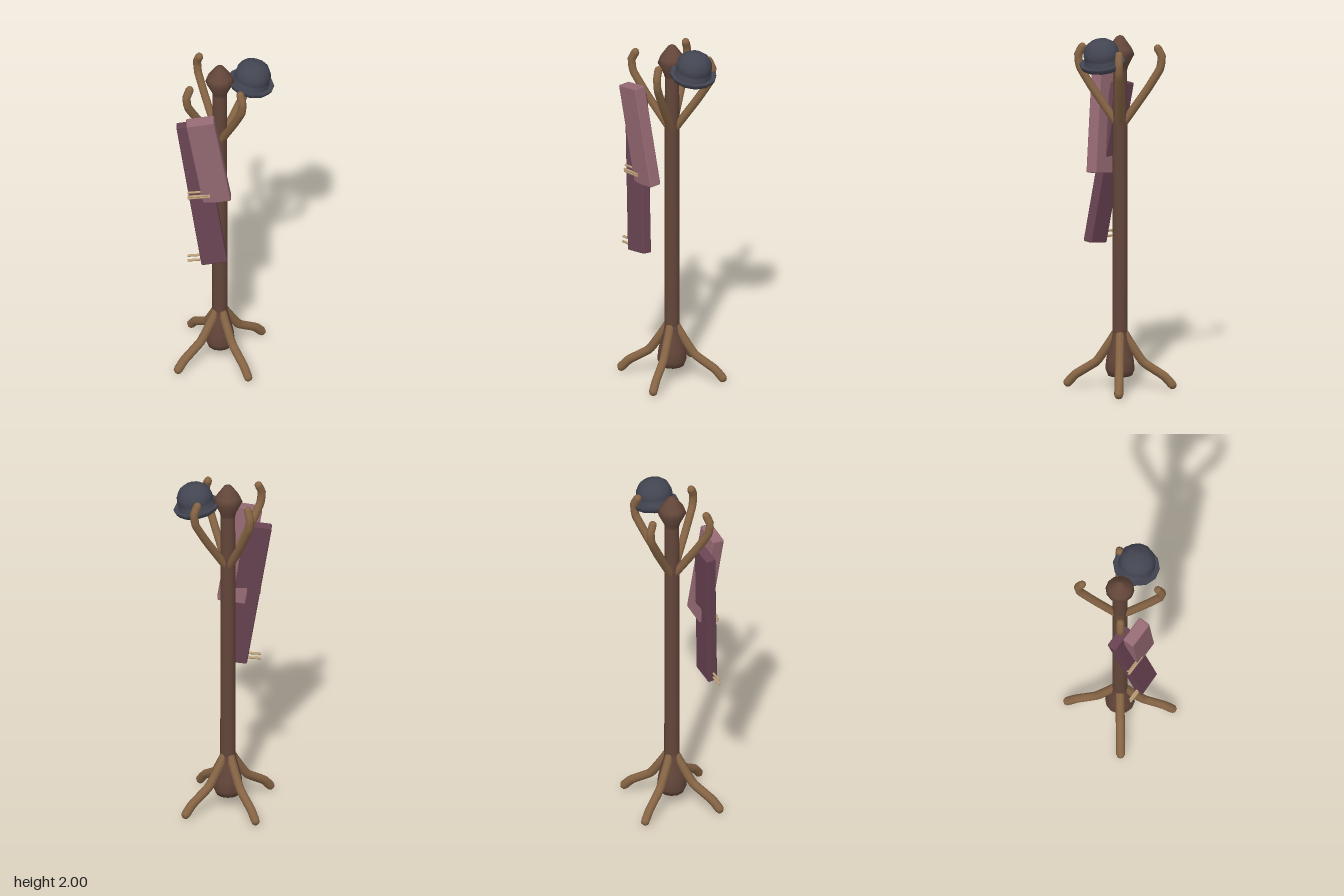
import * as THREE from 'three';
import { RoundedBoxGeometry } from 'three/addons/geometries/RoundedBoxGeometry.js';

const mat = (name, color) => {
  const m = new THREE.MeshStandardMaterial({ color });
  m.name = name;
  return m;
};

export function createModel() {
  const darkWood = mat('darkWood', 0x63463a);
  const lightWood = mat('lightWood', 0x876545);
  const felt = mat('felt', 0x434552);
  const rose = mat('rose', 0x966a74);
  const plum = mat('plum', 0x694353);
  const tan = mat('tan', 0xc0a27c);

  const model = new THREE.Group();
  model.name = 'coatStand';

  const add = (parent, name, geometry, material, pos = [0, 0, 0], rot = [0, 0, 0]) => {
    const mesh = new THREE.Mesh(geometry, material);
    mesh.name = name;
    mesh.position.set(...pos);
    mesh.rotation.set(...rot);
    parent.add(mesh);
    return mesh;
  };
  const lathe = (pts, sides) =>
    new THREE.LatheGeometry(pts.map(([r, y]) => new THREE.Vector2(r, y)), sides);

  // Stand: pole with turned base and finial
  const stand = new THREE.Group();
  stand.name = 'stand';
  stand.position.x = -0.02;
  model.add(stand);
  add(stand, 'pole', new THREE.CylinderGeometry(0.04, 0.043, 1.6, 12), darkWood, [0, 1.05, 0]);
  add(stand, 'base', lathe([[0, 0.075], [0.068, 0.075], [0.082, 0.11], [0.076, 0.17],
    [0.05, 0.28], [0.04, 0.33]], 12), darkWood);
  add(stand, 'finial', lathe([[0.04, 1.8], [0.045, 1.82], [0.08, 1.89], [0.068, 1.92],
    [0.022, 1.985], [0, 1.997]], 12), darkWood);

  // Bent limbs: a tube in the (radius, height) plane with rounded ends
  const limb = (name, pts, radius, angle) => {
    const group = new THREE.Group();
    group.name = name;
    group.rotation.y = -angle;
    const path = pts.map(([r, y]) => new THREE.Vector3(r, y, 0));
    const curve = new THREE.CatmullRomCurve3(path, false, 'catmullrom', 0.2);
    add(group, name + 'Tube', new THREE.TubeGeometry(curve, 20, radius, 8), lightWood);
    for (const p of [path[0], path[path.length - 1]]) {
      add(group, name + 'End', new THREE.SphereGeometry(radius * 0.98, 8, 6), lightWood, p.toArray());
    }
    stand.add(group);
  };
  const armPath = [[0.02, 1.5], [0.15, 1.69], [0.222, 1.81], [0.232, 1.88], [0.21, 1.925]];
  const legPath = [[0.025, 0.31], [0.055, 0.26], [0.13, 0.15], [0.245, 0.075], [0.29, 0.026]];
  for (const degrees of [58, 143, 238, 323]) {
    const angle = THREE.MathUtils.degToRad(degrees);
    limb('arm', armPath, 0.023, angle);
    limb('leg', legPath, 0.025, angle);
  }

  // Round hat hung at a tilt
  add(model, 'hat', lathe([[0, 0.002], [0.09, -0.012], [0.118, 0.0], [0.131, 0.022], [0.127, 0.03],
    [0.108, 0.022], [0.101, 0.026], [0.101, 0.052], [0.094, 0.056], [0.102, 0.066], [0.098, 0.095],
    [0.082, 0.128], [0.052, 0.15], [0, 0.158]], 12), felt, [0.148, 1.848, -0.015], [0, 0, -0.2]);

  // Scarf: two crossing slabs
  add(model, 'scarfFront', new RoundedBoxGeometry(0.156, 0.578, 0.07, 1, 0.007), rose,
    [-0.084, 1.477, 0.175], [0.066, 0, 0.165]);
  add(model, 'scarfBack', new RoundedBoxGeometry(0.144, 0.905, 0.056, 1, 0.006), plum,
    [-0.121, 1.24, 0.159], [-0.094, 0, 0.154]);

  // Fringe strands: [right end x, y, z], all starting at x = -0.2
  const strands = [[-0.11, 1.262, 0.185], [-0.075, 1.241, 0.193], [-0.075, 1.228, 0.19],
    [-0.1, 0.838, 0.2], [-0.1, 0.808, 0.203]];
  for (const [end, y, z] of strands) {
    add(model, 'fringe', new THREE.CylinderGeometry(0.007, 0.007, end + 0.2, 6), tan,
      [(end - 0.2) / 2, y, z], [0, 0, Math.PI / 2 + 0.08]);
  }
  return model;
}
